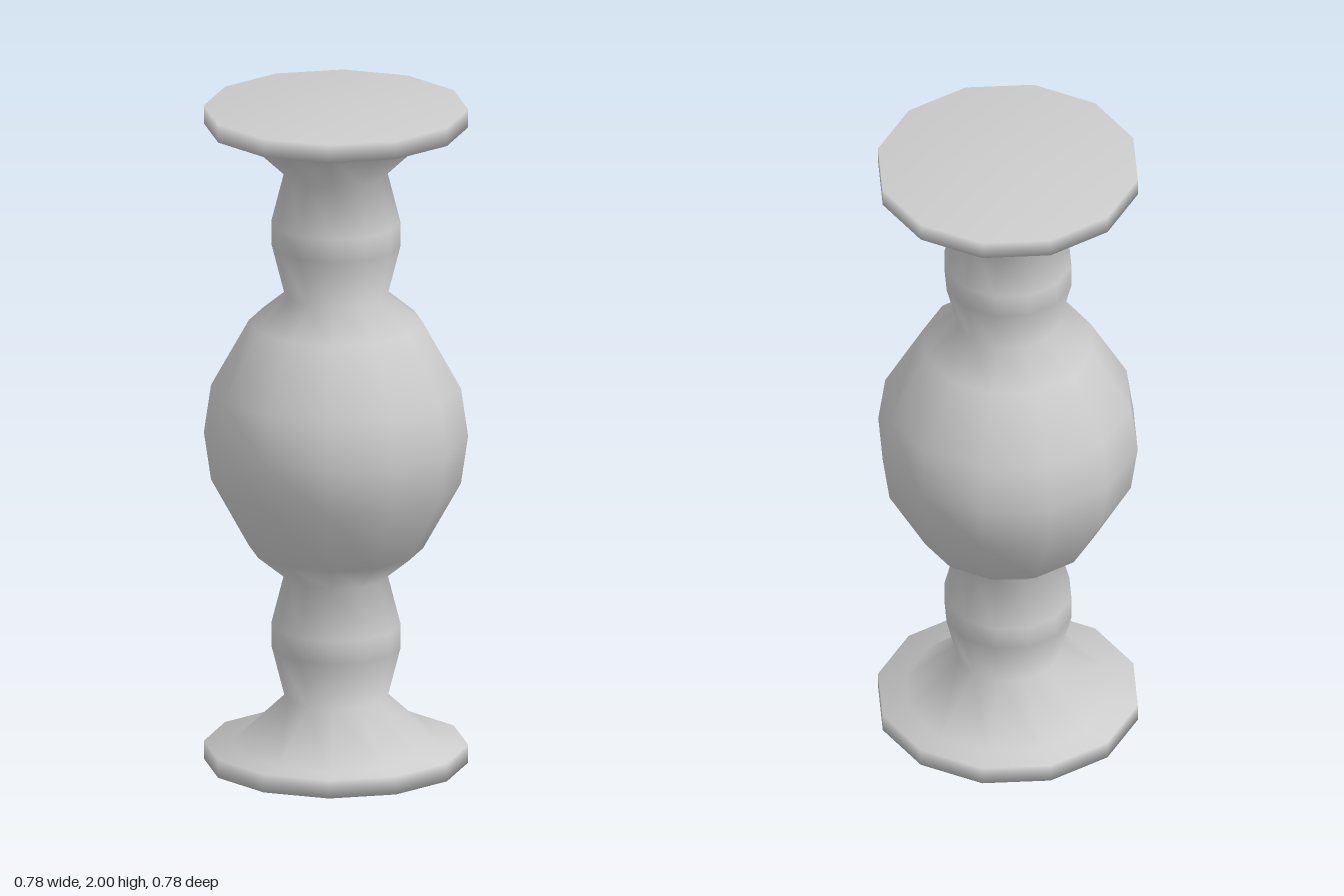
import * as THREE from 'three';

const SIDES = 12;

// Lower half of the turned profile as [radius, height], mirrored about y = 1
const HALF = [
  [0, 0], [0.388, 0], [0.388, 0.055],          // base plate
  [0.307, 0.056], [0.152, 0.2],                // flare
  [0.19, 0.35], [0.19, 0.42], [0.152, 0.57],   // neck bead
  [0.256, 0.655], [0.367, 0.855],              // belly
];

export function createModel() {
  const group = new THREE.Group();
  group.name = 'baluster';

  const upper = HALF.map(([r, y]) => [r, 2 - y]).reverse();
  const profile = [...HALF, [0.388, 1], ...upper].map(([r, y]) => new THREE.Vector2(r, y));

  // One smooth-shaded twelve-sided turning, closed at both ends
  const post = new THREE.Mesh(
    new THREE.LatheGeometry(profile, SIDES),
    new THREE.MeshStandardMaterial({ color: 0xcccccc })
  );
  post.name = 'turnedPost';
  group.add(post);
  return group;
}
